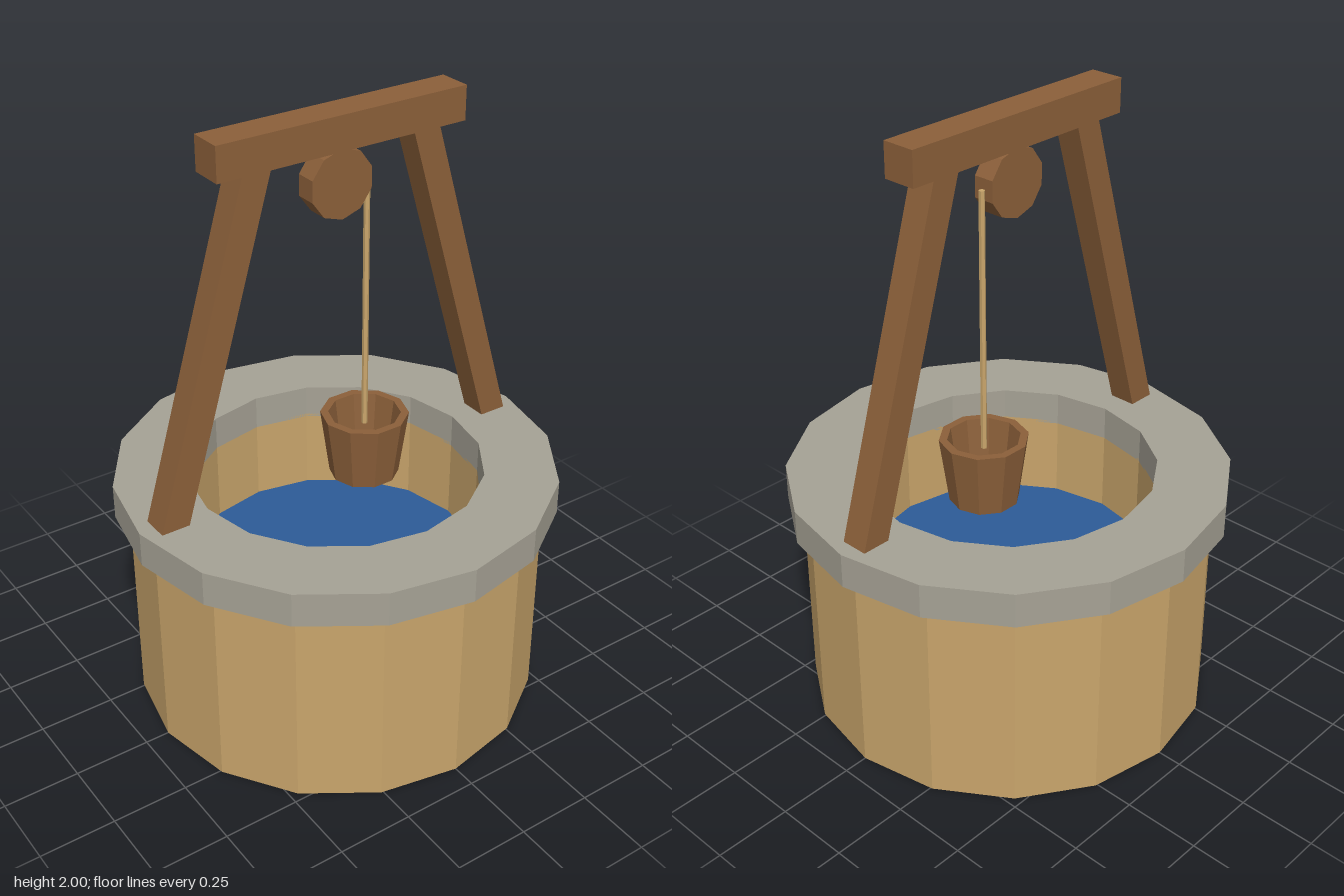
import * as THREE from 'three';

const material = (name, color) => {
  const m = new THREE.MeshStandardMaterial({ color });
  m.name = name;
  return m;
};

// Gives every face its own hard-edged normal
const faceted = (geometry) => {
  const g = geometry.index ? geometry.toNonIndexed() : geometry;
  g.computeVertexNormals();
  return g;
};

// Faceted solid of revolution from [radius, height] pairs
const turned = (profile, sides) =>
  faceted(new THREE.LatheGeometry(profile.map(([r, y]) => new THREE.Vector2(r, y)), sides));

export function createModel() {
  const well = new THREE.Group();
  well.name = 'well';

  const stone = material('sandstone', 0xc9a56b);
  const cap = material('grey stone', 0xa6a295);
  const wood = material('wood', 0x8c603a);
  const blue = material('water blue', 0x2d5b98);

  const add = (name, geometry, mat, x = 0, y = 0, z = 0) => {
    const mesh = new THREE.Mesh(geometry, mat);
    mesh.name = name;
    mesh.position.set(x, y, z);
    well.add(mesh);
    return mesh;
  };

  // Round shaft with a closed base
  add('wall', turned([[0, 0], [0.67, 0], [0.67, 0.71], [0.48, 0.71], [0.48, 0.4], [0, 0.4]], 16), stone);

  // Overhanging stone ring
  add('rim', turned([[0.48, 0.7], [0.717, 0.7], [0.717, 0.815], [0.48, 0.815], [0.48, 0.7]], 16), cap);

  // Water surface
  add('water', new THREE.CircleGeometry(0.48, 16).rotateX(-Math.PI / 2), blue, 0, 0.43);

  // Leaning posts, sunk into the rim and the beam
  const lean = Math.atan2(0.32, 1.075);
  for (const side of [-1, 1]) {
    const post = add(side < 0 ? 'rightPost' : 'leftPost',
      new THREE.BoxGeometry(0.091, 1.18, 0.092), wood, side * 0.457, 1.353);
    post.rotation.z = side * lean;
  }

  // Crossbeam
  add('beam', new THREE.BoxGeometry(0.864, 0.11, 0.112), wood, 0, 1.945);

  // Pulley wheel
  add('pulley', faceted(new THREE.CylinderGeometry(0.11, 0.11, 0.07, 10).rotateX(Math.PI / 2)), wood, 0, 1.78);

  // Rope hanging from the side of the pulley
  const ropeTop = 1.78, ropeEnd = 0.92;
  add('rope', faceted(new THREE.CylinderGeometry(0.01, 0.01, ropeTop - ropeEnd, 6)), stone,
    0.113, (ropeTop + ropeEnd) / 2);

  // Hollow tapered bucket
  const bucket = add('bucket',
    turned([[0, 0], [0.113, 0], [0.143, 0.22], [0.117, 0.22], [0.092, 0.03], [0, 0.03]], 10),
    wood, 0.113, 0.74);
  bucket.rotation.y = Math.PI / 2;

  return well;
}
